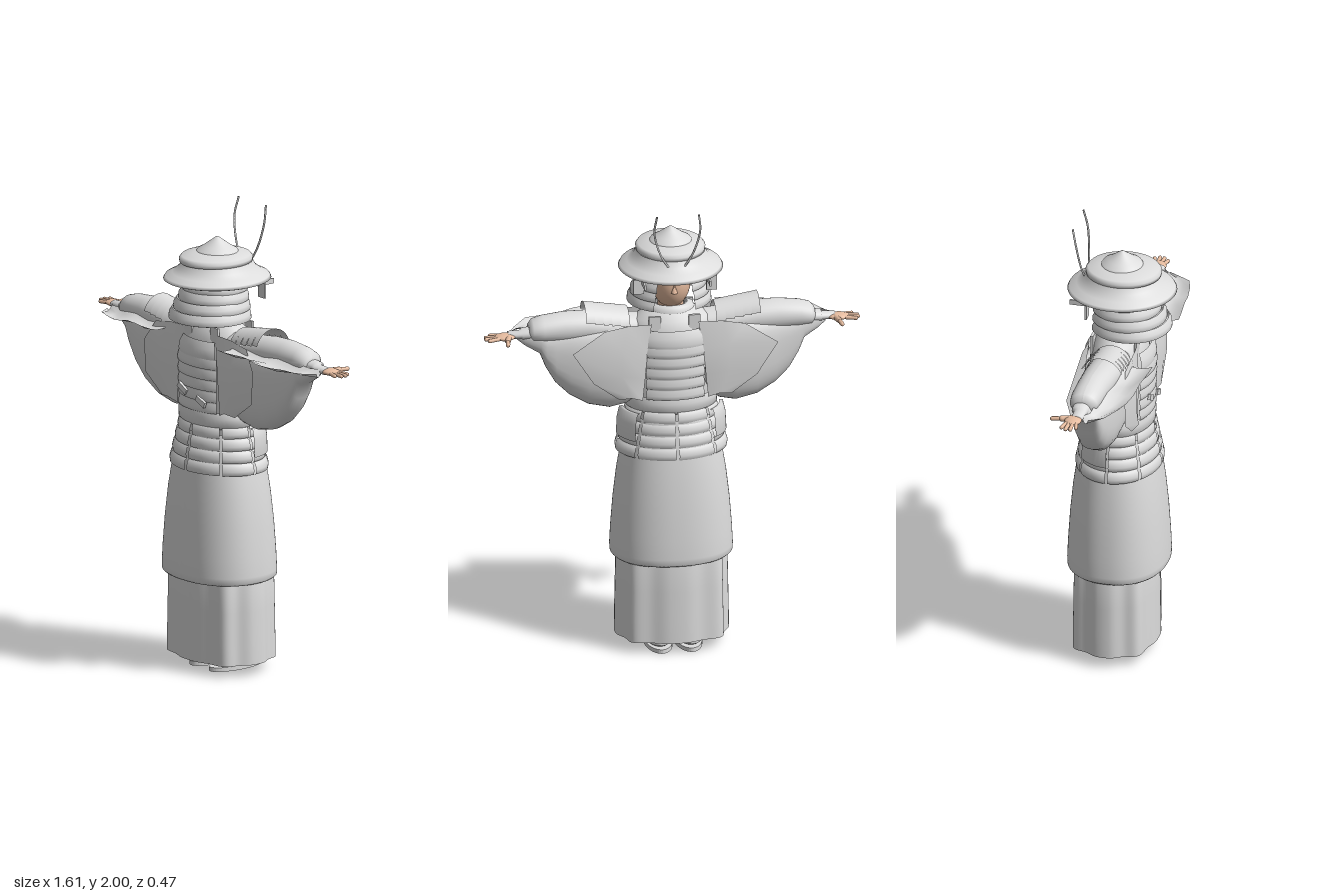
import * as THREE from 'three';

const grey = new THREE.MeshStandardMaterial({ color: 0xdcdcdc, side: THREE.DoubleSide });
grey.name = 'light grey';
const skin = new THREE.MeshStandardMaterial({ color: 0xebc0a3, side: THREE.DoubleSide });
skin.name = 'skin';

export function createModel() {
  const model = new THREE.Group();
  const V = (x, y, z) => new THREE.Vector3(x, y, z);
  const add = (name, geo, mat = grey, parent = model) => {
    const mesh = new THREE.Mesh(geo, mat);
    mesh.name = name;
    parent.add(mesh);
    return mesh;
  };
  // Elliptical turned shape; angle 0 points to +z
  const turned = (name, profile, depth, z, from = 0, sweep = Math.PI * 2, parent = model) => {
    const pts = profile.map(([r, y]) => new THREE.Vector2(r, y));
    const g = new THREE.LatheGeometry(pts, Math.max(6, Math.ceil(sweep * 9)), from, sweep);
    g.scale(1, 1, depth).translate(0, 0, z);
    return add(name, g, grey, parent);
  };
  // Surface through rows of points
  const sheet = (rows) => {
    const n = rows[0].length, pos = [], idx = [];
    rows.forEach((row) => row.forEach((p) => pos.push(p.x, p.y, p.z)));
    for (let i = 0; i < rows.length - 1; i++) {
      for (let j = 0; j < n - 1; j++) {
        const a = i * n + j;
        idx.push(a, a + 1, a + n, a + 1, a + n + 1, a + n);
      }
    }
    const g = new THREE.BufferGeometry();
    g.setAttribute('position', new THREE.Float32BufferAttribute(pos, 3));
    g.setIndex(idx);
    g.computeVertexNormals();
    return g;
  };
  // Sine or cosine flattened towards a rounded square as n grows above 2
  const flat = (v, n) => Math.sign(v) * Math.abs(v) ** (2 / n);
  // Oval sections along x: [x, top, bottom, zMin, zMax]
  const loftX = (sections, n = 2) => sheet(sections.map(([x, t, b, z0, z1]) =>
    Array.from({ length: 33 }, (_, i) => {
      const a = (i / 32) * Math.PI * 2;
      return V(x, (t + b) / 2 + flat(Math.cos(a), n) * (t - b) / 2, (z0 + z1) / 2 + flat(Math.sin(a), n) * (z1 - z0) / 2);
    })));
  // Level ring of a skirt, with optional pleats
  const skirtRing = (y, rx, rz, z, n, pleat = 0) => Array.from({ length: 97 }, (_, j) => {
    const a = (j / 96) * Math.PI * 2, k = 1 + pleat * Math.cos(a * 8);
    return V(flat(Math.sin(a), n) * rx * k, y, flat(Math.cos(a), n) * rz * k + z);
  });
  const box = (name, w, h, d, x, y, z, tilt = 0) => {
    const m = add(name, new THREE.BoxGeometry(w, h, d));
    m.position.set(x, y, z);
    m.rotation.z = tilt;
  };
  // Stepped overlapping lamellar profile between two heights
  const lamellae = (n, rLow, yLow, rHigh, yHigh, lip) => {
    const p = [];
    for (let i = 0; i < n; i++) {
      const h = (yHigh - yLow) / n, y = yLow + i * h, r = rLow + (rHigh - rLow) * (i / n);
      p.push([r - lip, y], [r, y + h * 0.04], [r + lip * 0.3, y + h * 0.4], [r - lip * 0.5, y + h * 0.9]);
    }
    p.push([rHigh - lip, yHigh]);
    return p;
  };

  // Hat with broad brim, crown ring and pointed top
  turned('hatBrim', [[0.13, 1.695], [0.205, 1.694], [0.222, 1.7], [0.215, 1.712], [0.185, 1.728],
    [0.16, 1.748], [0.145, 1.775]], 1.05, 0);
  turned('hatCrown', [[0.13, 1.77], [0.146, 1.775], [0.148, 1.79], [0.138, 1.803], [0.085, 1.818], [0.06, 1.818]], 1.1, 0.007);
  turned('hatPoint', [[0.092, 1.812], [0.085, 1.824], [0.06, 1.838], [0.03, 1.86], [0.008, 1.876], [0, 1.88]], 1, 0);
  for (const s of [-1, 1]) {
    const curve = new THREE.CatmullRomCurve3([V(0.03 * s, 1.745, -0.155), V(0.07 * s, 1.815, -0.163),
      V(0.098 * s, 1.92, -0.176), V(0.09 * s, 2, -0.193)]);
    add('horn', new THREE.TubeGeometry(curve, 20, 0.0045, 6));
    box('cheekFlap', 0.045, 0.065, 0.008, 0.157 * s, 1.655, -0.115);
    box('cheekFlapFold', 0.008, 0.022, 0.085, 0.14 * s, 1.68, -0.15);
  }

  // Neck guard, open at the face
  const guardAngle = 2.62;
  [[0.18, 0.04, 1.53], [0.168, 0.03, 1.572], [0.154, 0.02, 1.612], [0.143, 0.012, 1.654]].forEach(([r, z, y]) => {
    turned('neckGuard', [[r - 0.008, y], [r, y + 0.003], [r - 0.002, y + 0.025], [r - 0.016, y + 0.047]],
      0.96, z, -guardAngle, guardAngle * 2);
  });
  const head = add('head', new THREE.SphereGeometry(1, 28, 20), skin);
  head.scale.set(0.085, 0.125, 0.095);
  head.position.set(0, 1.64, -0.005);
  const nose = add('nose', new THREE.ConeGeometry(0.014, 0.04, 8), skin);
  nose.position.set(0, 1.63, -0.1);
  add('neck', new THREE.CylinderGeometry(0.05, 0.06, 0.12, 20), skin).position.set(0, 1.535, 0);

  // Robe body and collar
  turned('robeBody', [[0.18, 1.0], [0.185, 1.1], [0.19, 1.2], [0.195, 1.34], [0.19, 1.42], [0.16, 1.48],
    [0.1, 1.515], [0.06, 1.53]], 0.63, -0.01);
  turned('collar', [[0.1, 1.47], [0.105, 1.5], [0.095, 1.53], [0.07, 1.535]], 0.75, -0.005);

  // Chest and back armour with tiers
  for (const [facing, z] of [[0, -0.005], [Math.PI, -0.012]]) {
    turned('torsoPlates', lamellae(5, 0.2, 1.14, 0.206, 1.38, 0.008), 0.72, z, facing - 0.67, 1.34);
    turned('torsoTopPlate', [[0.2, 1.375], [0.204, 1.39], [0.198, 1.42], [0.178, 1.45]], 0.72, z, facing - 0.62, 1.24);
    const side = facing ? -1 : 1;
    for (const x of [-0.085, 0.085]) box('shoulderStrap', 0.05, 0.1, 0.012, x, 1.46, side * 0.095 - 0.01);
  }
  turned('waistSash', [[0.175, 1.07], [0.196, 1.085], [0.198, 1.12], [0.188, 1.145]], 0.74, -0.006);
  box('sashKnot', 0.06, 0.025, 0.012, -0.06, 1.225, 0.14, -0.5);
  box('sashKnot', 0.06, 0.025, 0.012, 0.06, 1.19, 0.14, -0.4);

  // Hip armour: eight hanging panels of four tiers
  for (let i = 0; i < 8; i++) {
    turned('hipPanel', lamellae(4, 0.238, 0.88, 0.186, 1.085, 0.009), 0.77, -0.01,
      i * Math.PI / 4 + 0.03, Math.PI / 4 - 0.06);
  }

  // Overskirt with a rounded hem
  const hem = [[0.21, 0.412], [0.25, 0.406], [0.26, 0.415], [0.261, 0.44], [0.257, 0.52], [0.247, 0.65],
    [0.232, 0.78], [0.212, 0.9], [0.18, 1.05]];
  add('overskirt', sheet(hem.map(([r, y]) => skirtRing(y, r, r * 0.82, -0.012, 2.25))));

  // Pleated underskirt, squarer than the overskirt
  const pleats = [[0.05, 1], [0.15, 0.995], [0.28, 0.985], [0.4, 0.975], [0.48, 0.9]];
  add('pleatedUnderskirt', sheet(pleats.map(([y, k]) =>
    skirtRing(y, 0.235 * k, 0.176 * k, -0.022, 2.7, 0.04 * k))));

  // Shoes pointing to -z
  for (const s of [-1, 1]) {
    const outline = new THREE.Shape();
    outline.absellipse(0, 0, 0.06, 0.138, 0, Math.PI * 2);
    const sole = new THREE.ExtrudeGeometry(outline, { depth: 0.018, bevelEnabled: false, curveSegments: 24 });
    sole.rotateX(-Math.PI / 2).translate(0.064 * s, 0, -0.048);
    add('sole', sole);
    const foot = add('foot', new THREE.SphereGeometry(1, 20, 12));
    foot.scale.set(0.062, 0.03, 0.13);
    foot.position.set(0.066 * s, 0.038, -0.048);
    add('leg', new THREE.CylinderGeometry(0.05, 0.04, 0.4, 16)).position.set(0.062 * s, 0.24, -0.01);
  }

  // Arms, built on +x and mirrored
  for (const s of [1, -1]) {
    const arm = new THREE.Group();
    arm.name = s > 0 ? 'leftArm' : 'rightArm';
    arm.scale.x = s;
    model.add(arm);
    add('upperSleeve', loftX([[0.13, 1.49, 1.36, -0.07, 0.07], [0.25, 1.5, 1.37, -0.08, 0.075],
      [0.36, 1.515, 1.38, -0.08, 0.068], [0.46, 1.518, 1.38, -0.08, 0.058], [0.55, 1.508, 1.39, -0.08, 0.052],
      [0.595, 1.495, 1.4, -0.075, 0.045], [0.612, 1.475, 1.415, -0.055, 0.025], [0.612, 1.45, 1.44, -0.02, -0.01]]), grey, arm);
    add('hangingSleeve', loftX([[0.13, 1.45, 1.15, -0.11, 0.08], [0.2, 1.47, 1.1, -0.12, 0.075],
      [0.27, 1.47, 1.086, -0.12, 0.07], [0.36, 1.46, 1.105, -0.11, 0.065], [0.44, 1.46, 1.15, -0.092, 0.058],
      [0.5, 1.455, 1.21, -0.082, 0.05], [0.54, 1.45, 1.28, -0.076, 0.045], [0.565, 1.45, 1.345, -0.07, 0.04],
      [0.63, 1.45, 1.385, -0.05, 0.02], [0.66, 1.43, 1.41, -0.03, 0]], 2.6), grey, arm);
    add('cuff', loftX([[0.58, 1.465, 1.41, -0.06, 0.02], [0.64, 1.46, 1.412, -0.055, 0.015],
      [0.645, 1.45, 1.415, -0.045, 0.01], [0.7, 1.448, 1.416, -0.042, 0.008], [0.7, 1.435, 1.43, -0.02, -0.01]]), grey, arm);

    // Shoulder guard: arched bands stepping outwards
    for (let i = 0; i < 5; i++) {
      const band = new THREE.CylinderGeometry(0.086, 0.093, 0.04, 20, 1, true, Math.PI / 2 - 1.25, 2.5);
      band.rotateZ(Math.PI / 2);
      add('shoulderBand', band, grey, arm).position.set(0.205 + i * 0.037, 1.434 + i * 0.006, 0.004);
    }

    // Loose cloth flap spread out towards +z
    const xs = [0.22, 0.3, 0.38, 0.46, 0.54, 0.6, 0.655, 0.69];
    const edge = [0.19, 0.183, 0.176, 0.168, 0.155, 0.138, 0.09, 0.03];
    const flap = [0, 0.25, 0.5, 0.75, 1].map((t) => xs.map((x, i) => {
      const inner = i > 6 ? 0 : 0.03;
      const y = 1.485 - 0.05 * (i / 7) - (0.02 * t + 0.035 * Math.sin(t * Math.PI)) * (1 - i / 14)
        + 0.007 * Math.sin(i * 2.1 + t * 4);
      return V(x, y, inner + (edge[i] - inner) * t);
    }));
    add('sleeveFlap', sheet(flap), grey, arm);

    // Pointed cloth panels at front and back of the shoulder
    for (const [name, z, out, tip] of [['backPanel', 0.085, 0.04, 0.36], ['frontPanel', -0.115, -0.035, 0.44]]) {
      const panel = [[[0.1, 1.48], [0.2, 1.48], [0.3, 1.46]], [[0.12, 1.36], [0.23, 1.38], [tip, 1.37]],
        [[0.13, 1.24], [0.23, 1.26], [0.35, 1.23]], [[0.14, 1.14], [0.19, 1.16], [0.24, 1.15]]];
      add(name, sheet(panel.map((row, i) => row.map(([x, y], j) =>
        V(x, y, z + out * (j === 1 ? 1 : 0.5) * (i === 0 ? 0.2 : 0.9))))), grey, arm);
    }
    // Curved plate hugging the hip
    turned('hipSidePlate', [[0.222, 0.95], [0.236, 0.955], [0.232, 1.03], [0.222, 1.075], [0.205, 1.075]],
      0.77, -0.01, Math.PI / 2, 0.75, arm);

    // Hand with four fingers and a thumb
    const palm = add('palm', new THREE.SphereGeometry(1, 16, 12), skin, arm);
    palm.scale.set(0.046, 0.014, 0.036);
    palm.position.set(0.715, 1.43, -0.03);
    const finger = (name, a, b, r) => {
      const m = add(name, new THREE.CapsuleGeometry(r, a.distanceTo(b), 4, 8), skin, arm);
      m.position.copy(a).lerp(b, 0.5);
      m.quaternion.setFromUnitVectors(V(0, 1, 0), b.clone().sub(a).normalize());
    };
    [[-0.05, -0.062, 0.785], [-0.038, -0.042, 0.797], [-0.024, -0.022, 0.795], [-0.01, -0.002, 0.775]].forEach(([z0, z1, x]) =>
      finger('finger', V(0.735, 1.43, z0), V(x, 1.428, z1), 0.0085));
    finger('thumbBase', V(0.7, 1.43, -0.045), V(0.71, 1.43, -0.08), 0.013);
    finger('thumb', V(0.71, 1.43, -0.08), V(0.716, 1.428, -0.12), 0.0095);
  }
  return model;
}
